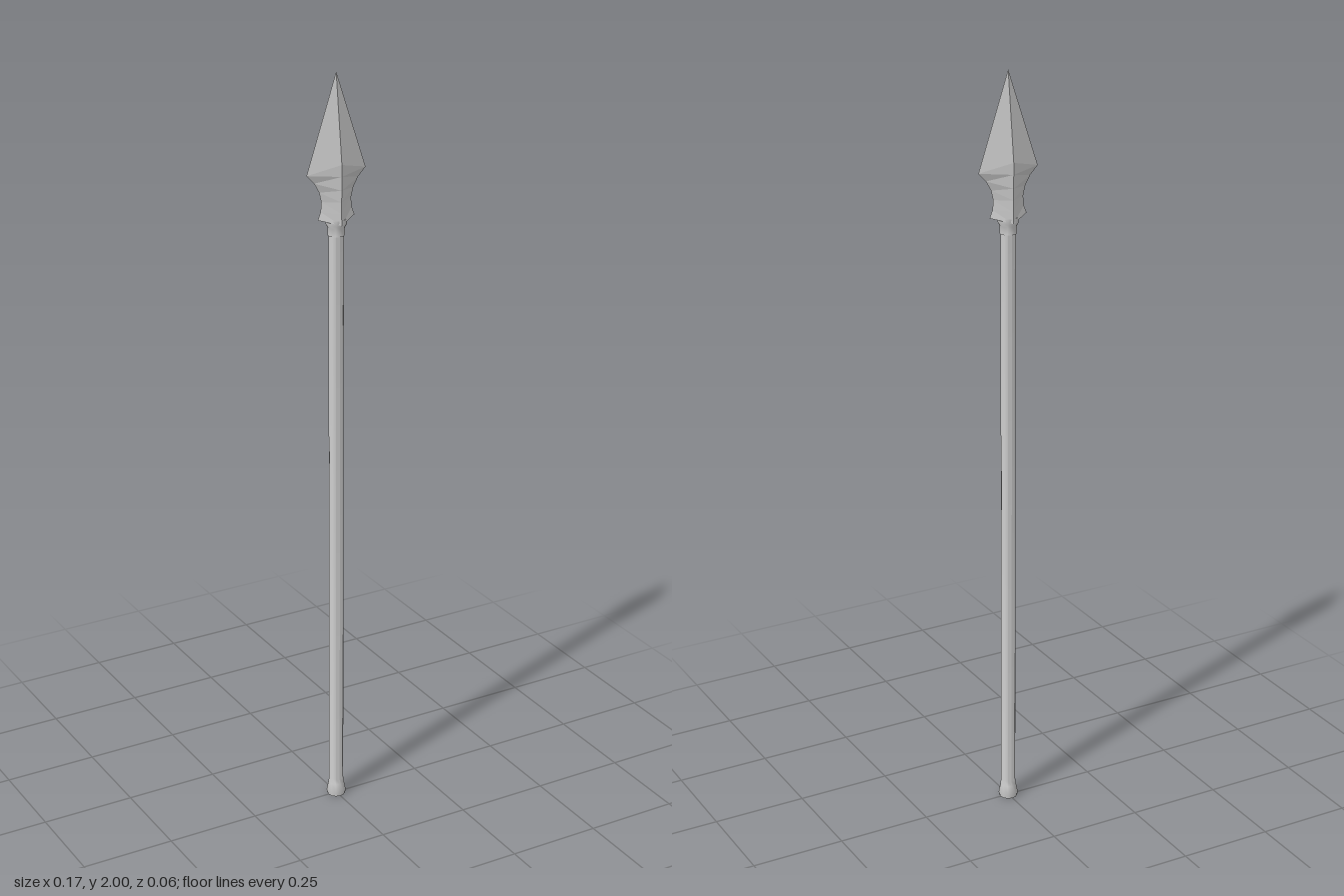
import * as THREE from 'three';
import { toCreasedNormals } from 'three/addons/utils/BufferGeometryUtils.js';

const material = new THREE.MeshStandardMaterial({ color: 0xcccccc });
const flatMaterial = new THREE.MeshStandardMaterial({ color: 0xcccccc, flatShading: true });

// Turned part from [radius, y] pairs, bottom to top
function turned(name, profile) {
  const points = profile.map(([r, y]) => new THREE.Vector2(r, y));
  const geometry = toCreasedNormals(new THREE.LatheGeometry(points, 12), 0.7);
  const mesh = new THREE.Mesh(geometry, material);
  mesh.name = name;
  return mesh;
}

// Blade lofted from diamond sections: two cutting edges on x, two ridges on z
function blade() {
  // [edge x, edge y, ridge z, ridge y]
  const sections = [
    [0.052, 1.635, 0.028, 1.62],
    [0.044, 1.655, 0.027, 1.65],
    [0.042, 1.68, 0.027, 1.68],
    [0.048, 1.705, 0.028, 1.71],
    [0.062, 1.73, 0.028, 1.745],
    [0.083, 1.752, 0.028, 1.775],
  ];
  const positions = [];
  for (const [x, ey, z, ry] of sections) {
    positions.push(x, ey, 0, 0, ry, z, -x, ey, 0, 0, ry, -z);
  }
  const tip = sections.length * 4;
  positions.push(0, 2, 0, 0, 1.625, 0);

  const index = [];
  for (let side = 0; side < 4; side++) {
    const next = (side + 1) % 4;
    for (let row = 0; row < sections.length - 1; row++) {
      const a = row * 4 + side, b = row * 4 + next;
      // split each quad the same way on mirrored sides
      if (side % 2) index.push(a, a + 4, b + 4, a, b + 4, b);
      else index.push(a, a + 4, b, b, a + 4, b + 4);
    }
    index.push(tip - 4 + side, tip, tip - 4 + next);
    index.push(side, next, tip + 1);
  }
  // corners run from +x to +z, so reverse for outward faces
  for (let i = 0; i < index.length; i += 3) {
    const outward = new THREE.Vector3(), p = [0, 1, 2].map((k) =>
      new THREE.Vector3().fromArray(positions, index[i + k] * 3));
    outward.copy(p[0]).add(p[1]).add(p[2]).divideScalar(3);
    const base = index.slice(i, i + 3).includes(tip + 1);
    outward.set(base ? 0 : outward.x, base ? -1 : 0, base ? 0 : outward.z);
    const normal = p[1].sub(p[0]).cross(p[2].sub(p[0]));
    if (normal.dot(outward) < 0) [index[i + 1], index[i + 2]] = [index[i + 2], index[i + 1]];
  }

  const geometry = new THREE.BufferGeometry();
  geometry.setAttribute('position', new THREE.Float32BufferAttribute(positions, 3));
  geometry.setIndex(index);
  const flat = geometry.toNonIndexed();
  flat.computeVertexNormals();
  const mesh = new THREE.Mesh(flat, flatMaterial);
  mesh.name = 'blade';
  return mesh;
}

export function createModel() {
  const spear = new THREE.Group();
  spear.name = 'spear';
  spear.add(
    // Shaft with flared butt
    turned('shaft', [[0, 0], [0.024, 0], [0.026, 0.008], [0.021, 0.035], [0.019, 0.05], [0.019, 1.6]]),
    // Socket joining shaft and blade
    turned('collar', [[0.018, 1.59], [0.022, 1.59], [0.022, 1.61], [0.026, 1.618], [0.026, 1.632], [0, 1.632]]),
    blade()
  );
  return spear;
}
